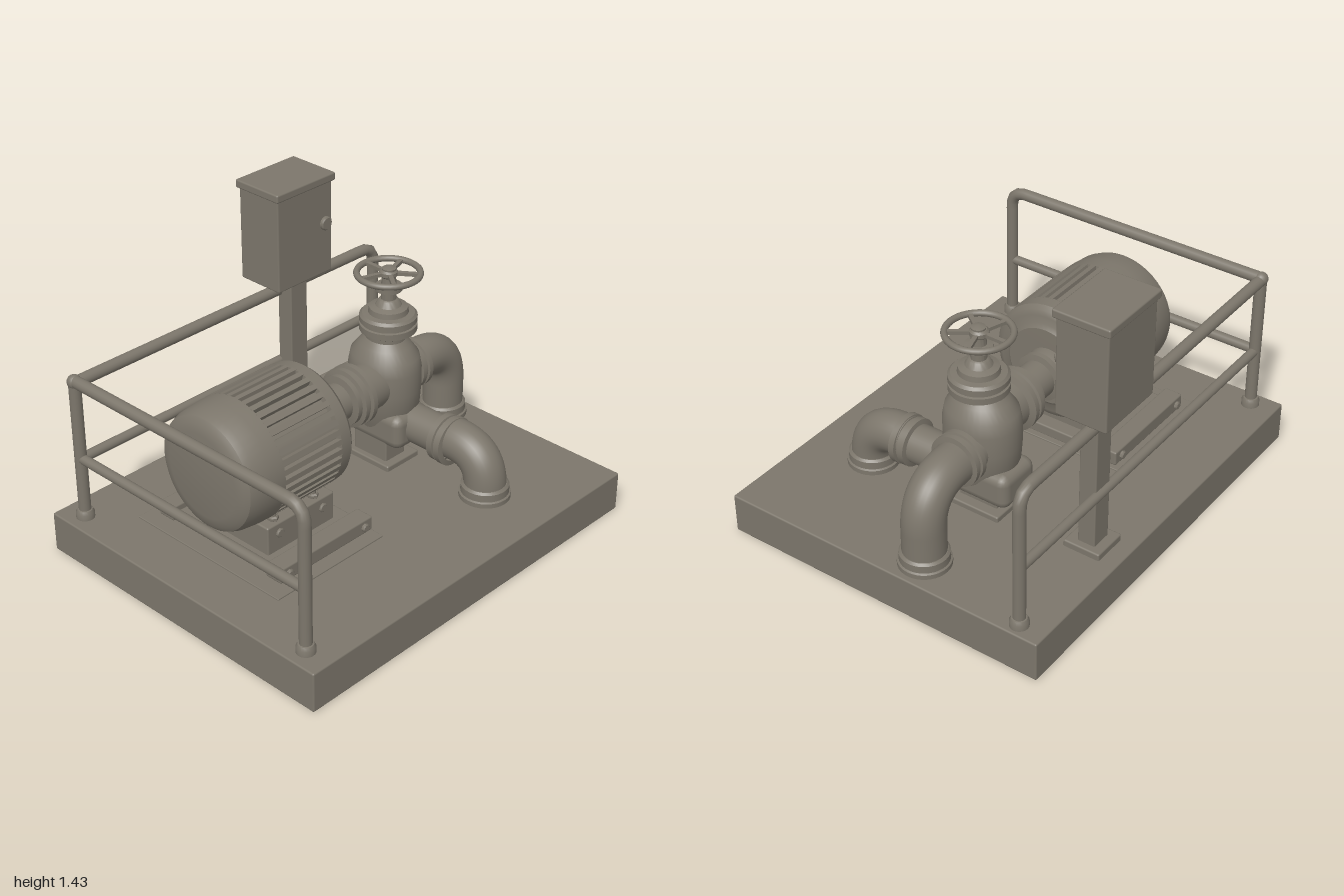
import * as THREE from 'three';
import { toCreasedNormals } from 'three/addons/utils/BufferGeometryUtils.js';
import { RoundedBoxGeometry } from 'three/addons/geometries/RoundedBoxGeometry.js';

const V = (x, y, z) => new THREE.Vector3(x, y, z);

export function createModel() {
  const model = new THREE.Group();
  const material = new THREE.MeshStandardMaterial({ color: 0x7c766b });
  material.name = 'warm grey';

  const add = (name, geometry, parent = model) => {
    const mesh = new THREE.Mesh(geometry, material);
    mesh.name = name;
    parent.add(mesh);
    return mesh;
  };
  const group = (name) => {
    const g = new THREE.Group();
    g.name = name;
    model.add(g);
    return g;
  };
  // Box from its minimum and maximum corners, with softened edges
  const box = (name, a, b, parent, bevel = 0.008) => {
    const g = new RoundedBoxGeometry(b[0] - a[0], b[1] - a[1], b[2] - a[2], 2, bevel);
    g.translate((a[0] + b[0]) / 2, (a[1] + b[1]) / 2, (a[2] + b[2]) / 2);
    return add(name, g, parent);
  };
  // Turned part: profile of [radius, distance along axis], placed at a point
  const turn = (name, axis, at, profile, parent, sides = 36) => {
    const points = profile.map(([r, t]) => new THREE.Vector2(r, t));
    const g = toCreasedNormals(new THREE.LatheGeometry(points, sides), 0.6);
    if (axis === 'x') g.rotateZ(-Math.PI / 2);
    if (axis === 'z') g.rotateX(Math.PI / 2);
    g.translate(...at);
    return add(name, g, parent);
  };
  // Closed disc with a small chamfer
  const disc = (name, axis, at, r, h, parent, sides = 36) => {
    const c = Math.min(0.012, h / 4, r / 4);
    return turn(name, axis, at, [[0, 0], [r - c, 0], [r, c], [r, h - c], [r - c, h], [0, h]], parent, sides);
  };
  // Pipe along a polyline with rounded corners
  const pipe = (name, points, r, bend, parent, sides = 16) => {
    const path = new THREE.CurvePath();
    let from = points[0];
    for (let i = 1; i < points.length - 1; i++) {
      const p = points[i];
      const a = p.clone().add(points[i - 1].clone().sub(p).setLength(bend));
      const b = p.clone().add(points[i + 1].clone().sub(p).setLength(bend));
      path.add(new THREE.LineCurve3(from, a));
      path.add(new THREE.QuadraticBezierCurve3(a, p, b));
      from = b;
    }
    path.add(new THREE.LineCurve3(from, points[points.length - 1]));
    return add(name, new THREE.TubeGeometry(path, points.length > 2 ? 64 : 1, r, sides), parent);
  };

  // Plinth
  box('plinth', [-1, 0, -0.81], [1, 0.193, 0.81], model, 0.008);

  // Motor, lying along x
  const motor = group('motor');
  const my = 0.61, mz = -0.07;
  turn('motorRearCover', 'x', [0, my, mz],
    [[0, -0.762], [0.2, -0.76], [0.24, -0.752], [0.265, -0.735], [0.278, -0.70], [0.287, -0.62], [0.289, -0.555], [0.26, -0.55]], motor, 48);
  turn('motorCore', 'x', [0, my, mz], [[0.264, -0.56], [0.264, -0.21]], motor, 48);
  turn('motorFrontCover', 'x', [0, my, mz],
    [[0.26, -0.222], [0.289, -0.218], [0.286, -0.16], [0.27, -0.14], [0.245, -0.13], [0.21, -0.127], [0.19, -0.112], [0, -0.11]], motor, 48);
  const fins = 40;
  for (let i = 0; i < fins; i++) {
    const a = (i / fins) * Math.PI * 2;
    const fin = add('coolingFin', new THREE.BoxGeometry(0.345, 0.04, 0.025), motor);
    fin.position.set(-0.385, my + Math.cos(a) * 0.269, mz + Math.sin(a) * 0.269);
    fin.rotation.x = a;
  }

  // Motor mount with rails, pedestal and bolts
  const mount = group('motorMount');
  box('mountPad', [-0.76, 0.185, -0.51], [-0.12, 0.2, 0.37], mount, 0.004);
  box('mountPlate', [-0.66, 0.195, -0.42], [-0.15, 0.25, 0.29], mount);
  box('motorPedestal', [-0.62, 0.24, -0.31], [-0.22, 0.385, 0.17], mount);
  for (const z of [-0.4, 0.27]) {
    const s = Math.sign(z);
    box('mountRail', [-0.69, 0.21, z - 0.045], [-0.13, 0.28, z + 0.045], mount);
    for (const x of [-0.64, -0.18]) {
      disc('railBolt', 'z', [x, 0.245, z + (s > 0 ? 0.04 : -0.06)], 0.02, 0.02, mount, 8);
    }
  }
  for (const z of [-0.36, 0.23]) disc('endBolt', 'x', [-0.135, 0.245, z], 0.02, 0.02, mount, 8);
  for (const x of [-0.55, -0.31]) for (const z of [-0.27, 0.13]) {
    disc('pedestalStud', 'y', [x, 0.37, z], 0.015, 0.07, mount, 8);
    disc('pedestalNut', 'y', [x, 0.38, z], 0.026, 0.025, mount, 6);
  }
  for (const x of [-0.55, -0.29]) disc('pedestalBolt', 'z', [x, 0.335, 0.16], 0.022, 0.02, mount, 8);

  // Coupling pipe between motor and pump
  const coupling = group('coupling');
  turn('couplingPipe', 'x', [0, 0.6, -0.09], [
    [0.11, -0.14], [0.11, -0.1], [0.1, -0.06], [0.115, -0.06], [0.115, -0.035], [0.088, -0.03],
    [0.088, 0.08], [0.12, 0.085], [0.12, 0.11], [0.14, 0.115], [0.14, 0.14], [0.128, 0.145],
    [0.128, 0.155], [0.144, 0.16], [0.144, 0.185], [0.115, 0.195], [0.11, 0.3]], coupling);

  // Pump casing
  const pump = group('pump');
  const px = 0.42, pz = -0.11;
  const casing = turn('pumpCasing', 'y', [0, 0, 0], [
    [0, 0.3], [0.1, 0.32], [0.125, 0.4], [0.15, 0.48], [0.155, 0.56], [0.155, 0.66],
    [0.145, 0.72], [0.11, 0.77], [0.085, 0.8], [0.085, 0.83]], pump);
  casing.position.set(px - 0.015, 0, pz);
  casing.scale.z = 1.15;
  box('casingFoot', [0.29, 0.3, -0.31], [0.52, 0.47, 0.08], pump, 0.045);
  box('pumpLeg', [0.3, 0.19, -0.2], [0.43, 0.33, 0], pump);
  box('pumpLegFoot', [0.27, 0.185, -0.24], [0.48, 0.22, 0.04], pump);
  turn('outletNeck', 'z', [0.435, 0.395, 0], [
    [0.09, 0.0], [0.09, 0.215], [0.112, 0.22], [0.112, 0.25], [0.102, 0.253], [0.102, 0.263],
    [0.116, 0.266], [0.116, 0.295], [0.09, 0.3]], pump);
  turn('sideNeck', 'x', [0, 0.57, -0.13], [
    [0.1, 0.45], [0.095, 0.56], [0.12, 0.565], [0.12, 0.59], [0.11, 0.593], [0.11, 0.605],
    [0.12, 0.608], [0.12, 0.63], [0.09, 0.635]], pump);

  // Elbows going down into the plinth, each with a collar
  const elbows = group('elbows');
  pipe('frontElbow', [V(0.44, 0.41, 0.26), V(0.44, 0.41, 0.475), V(0.44, 0.19, 0.475)], 0.097, 0.17, elbows, 28);
  pipe('sideElbow', [V(0.58, 0.57, -0.13), V(0.855, 0.57, -0.14), V(0.855, 0.19, -0.14)], 0.097, 0.19, elbows, 28);
  for (const [x, z] of [[0.44, 0.475], [0.855, -0.14]]) {
    turn('elbowCollar', 'y', [x, 0.185, z],
      [[0.118, 0], [0.118, 0.03], [0.11, 0.035], [0.11, 0.07], [0.1, 0.08], [0.09, 0.08]], elbows);
  }

  // Valve on top of the pump with a five-spoke handwheel
  const valve = group('valve');
  turn('valveBonnet', 'y', [0.43, 0, -0.115], [
    [0.08, 0.81], [0.115, 0.82], [0.132, 0.83], [0.132, 0.86], [0.122, 0.863], [0.122, 0.872], [0.132, 0.875],
    [0.132, 0.9], [0.12, 0.912], [0.092, 0.915], [0.088, 0.94], [0.06, 0.95], [0.045, 0.975], [0.035, 0.98],
    [0.035, 1.02], [0.062, 1.025], [0.062, 1.045], [0.035, 1.05], [0.03, 1.1], [0.032, 1.13], [0, 1.14]], valve);
  const wheel = new THREE.Group();
  wheel.name = 'handwheel';
  wheel.position.set(0.43, 1.105, -0.118);
  valve.add(wheel);
  add('wheelRim', new THREE.TorusGeometry(0.143, 0.015, 10, 40).rotateX(Math.PI / 2), wheel);
  disc('wheelHub', 'y', [0, -0.018, 0], 0.042, 0.036, wheel, 20);
  for (let i = 0; i < 5; i++) {
    const spoke = add('wheelSpoke', new THREE.BoxGeometry(0.12, 0.016, 0.02).translate(0.08, 0, 0), wheel);
    spoke.rotation.y = (i / 5) * Math.PI * 2 + 0.3;
  }

  // Control cabinet on its post
  const cabinet = group('controlCabinet');
  box('cabinetBody', [0.175, 0.935, -0.8], [0.52, 1.4, -0.555], cabinet);
  box('cabinetLid', [0.16, 1.39, -0.81], [0.53, 1.43, -0.54], cabinet);
  disc('cabinetKnob', 'z', [0.475, 1.19, -0.56], 0.033, 0.022, cabinet, 20);
  box('cabinetPost', [0.295, 0.19, -0.685], [0.4, 0.94, -0.6], cabinet, 0.006);
  box('postFoot', [0.26, 0.185, -0.73], [0.435, 0.225, -0.55], cabinet);

  // Guard rail along the back and right-hand side
  const rail = group('guardRail');
  const L = -0.915, R = 0.94, B = -0.685, F = 0.685, pr = 0.028;
  pipe('sideTopRail', [V(L, 0.19, F), V(L, 0.885, F), V(L, 0.885, B)], pr, 0.08, rail);
  pipe('backTopRail', [V(L, 0.875, B), V(R, 0.865, B), V(R, 0.19, B)], pr, 0.08, rail);
  pipe('cornerPost', [V(L, 0.19, B), V(L, 0.885, B)], pr, 0, rail);
  add('cornerJoint', new THREE.SphereGeometry(0.033, 16, 12).translate(L, 0.882, B), rail);
  pipe('sideMiddleRail', [V(L, 0.5, F), V(L, 0.5, B)], 0.023, 0, rail);
  pipe('backMiddleRail', [V(L, 0.495, B), V(R, 0.49, B)], 0.023, 0, rail);
  for (const [x, z] of [[L, F], [L, B], [R, B]]) {
    turn('postSocket', 'y', [x, 0.185, z], [[0.042, 0], [0.042, 0.035], [0.034, 0.05], [0.025, 0.052]], rail, 20);
  }

  return model;
}
